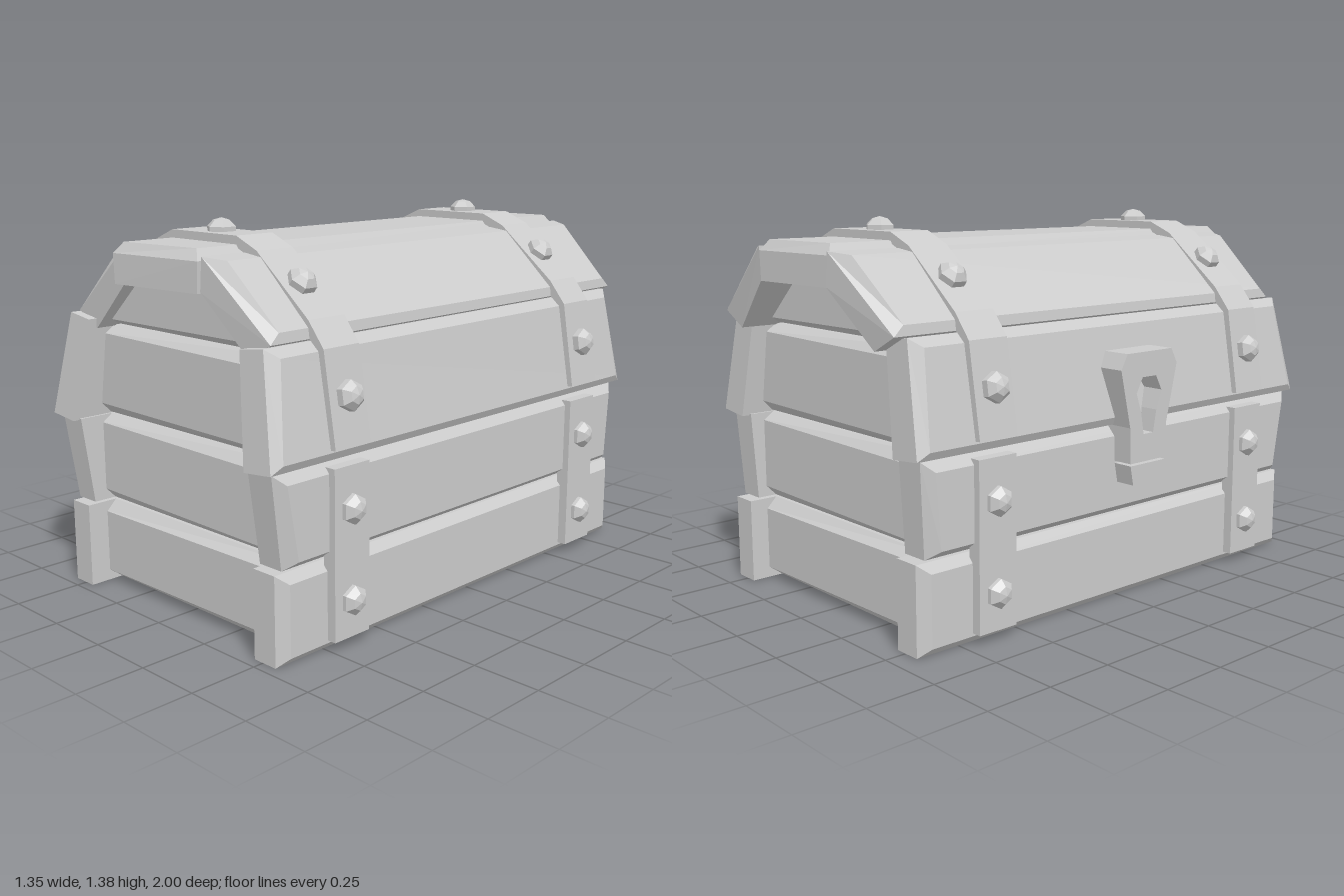
import * as THREE from 'three';

const material = new THREE.MeshStandardMaterial({ color: 0xcccccc, flatShading: true });

function add(parent, name, geometry) {
  const mesh = new THREE.Mesh(geometry, material);
  mesh.name = name;
  parent.add(mesh);
  return mesh;
}

// Bevelled slab from three rings of four corners: inner, shoulder, face
function slab(rings) {
  const p = [];
  const tri = (a, b, c) => p.push(...a, ...b, ...c);
  const quad = (a, b, c, d) => { tri(a, b, c); tri(a, c, d); };
  for (let i = 0; i < rings.length - 1; i++) {
    for (let j = 0; j < 4; j++) {
      const k = (j + 1) % 4;
      quad(rings[i][j], rings[i][k], rings[i + 1][k], rings[i + 1][j]);
    }
  }
  quad(...rings[rings.length - 1]);
  quad(...[...rings[0]].reverse());
  const g = new THREE.BufferGeometry();
  g.setAttribute('position', new THREE.Float32BufferAttribute(p, 3));
  g.computeVertexNormals();
  return g;
}

// Plank along z. section: inner, shoulder, face, face, shoulder, inner (x, y).
// back and front hold the end positions of its first and second edge.
function longPlank(section, back, front, inset = 0.04) {
  return slab([0, 1, 2].map((i) => {
    const a = section[i], b = section[5 - i], d = i === 2 ? inset : 0;
    return [[...a, back[0] + d], [...b, back[1] + d], [...b, front[1] - d], [...a, front[0] - d]];
  }));
}

// Horizontal plank of an end wall, facing +z
function endPlank(y0, y1, w0, w1, z, bevel, skew) {
  const ring = (d, zz, s) => [
    [w0, y0 + d + s, zz], [w1, y1 - d + s, zz], [-w1, y1 - d - s, zz], [-w0, y0 + d - s, zz]];
  return slab([ring(0, z - 0.15, 0), ring(0, z - 0.04, 0), ring(bevel, z, skew)]);
}

function polygon(points) {
  return new THREE.Shape(points.map(([x, y]) => new THREE.Vector2(x, y)));
}

function extrude(shape, depth) {
  return new THREE.ExtrudeGeometry(shape, { depth, bevelEnabled: false });
}

const mirror = (points) => points.map(([x, y]) => [-x, y]).reverse();

export function createModel() {
  const chest = new THREE.Group();
  chest.name = 'treasureChest';

  // Solid core behind the plank gaps
  const half = [[0.53, 0.03], [0.53, 0.68], [0.47, 1.0], [0.2, 1.22]];
  const core = add(chest, 'core', extrude(polygon([...half, ...mirror(half)]), 1.6));
  core.position.z = -0.79;

  // Planks of the long sides and the lid slopes
  const sidePlanks = [
    { name: 'lowerSidePlank', back: [-0.92, -0.92], front: [0.96, 0.96],
      s: [[0.46, 0], [0.56, 0], [0.59, 0.03], [0.59, 0.28], [0.56, 0.312], [0.46, 0.312]] },
    { name: 'upperSidePlank', back: [-0.885, -0.905], front: [0.93, 0.975],
      s: [[0.46, 0.32], [0.56, 0.32], [0.6, 0.35], [0.6, 0.61], [0.57, 0.645], [0.46, 0.645]] },
    { name: 'lidSidePlank', back: [-0.935, -0.91], front: [1.0, 0.955],
      s: [[0.47, 0.64], [0.595, 0.652], [0.61, 0.68], [0.555, 1.0], [0.52, 1.03], [0.41, 1.015]] },
    { name: 'lidSlopePlank', back: [-0.955, -0.99], front: [0.92, 0.935],
      s: [[0.41, 0.98], [0.515, 1.035], [0.51, 1.07], [0.29, 1.275], [0.21, 1.285], [0.2, 1.17]] },
  ];
  for (const { name, s, back, front } of sidePlanks) {
    add(chest, name + 'Left', longPlank(s, back, front));
    add(chest, name + 'Right', longPlank(mirror(s), [...back].reverse(), [...front].reverse()));
  }

  // Crown plank of the lid
  const crown = [[0.195, 1.165], [0.2, 1.27], [0.17, 1.308]];
  add(chest, 'lidTopPlank', longPlank([...crown, ...mirror(crown)], [-0.995, -0.975], [0.945, 0.985], 0.025));

  // End walls, recessed between the side planks
  const endPlanks = [
    [0.01, 0.312, 0.5, 0.5, 0.035, 0.006],
    [0.32, 0.645, 0.5, 0.5, 0.035, -0.006],
    [0.65, 0.985, 0.5, 0.45, 0.035, -0.005],
    [0.99, 1.22, 0.44, 0.2, 0.025, 0.004],
  ];
  for (const [side, turn, z] of [['front', 0, 0.88], ['back', Math.PI, 0.85]]) {
    const wall = new THREE.Group();
    wall.name = side + 'Wall';
    wall.rotation.y = turn;
    for (const [y0, y1, w0, w1, bevel, skew] of endPlanks) {
      add(wall, 'endPlank', endPlank(y0, y1, w0, w1, z, bevel, skew));
    }
    chest.add(wall);
  }

  // Metal straps with hexagonal rivets
  const outer = [[0.63, 0.69], [0.578, 1.01], [0.51, 1.095], [0.27, 1.295], [0.17, 1.337]];
  const arch = [...outer, ...mirror(outer)];
  const inner = arch.map(([x, y]) => {
    const r = Math.hypot(x, y - 0.65);
    return [x * (1 - 0.035 / r), 0.65 + (y - 0.65) * (1 - 0.035 / r)];
  });
  const lidBand = extrude(polygon([...arch, ...inner.reverse()]), 0.16);
  const rivet = new THREE.LatheGeometry(
    [[0.052, -0.02], [0.052, 0.02], [0.03, 0.042], [0, 0.05]].map(([x, y]) => new THREE.Vector2(x, y)),
    6).toNonIndexed();
  // x, y and tilt from straight up
  const rivets = [[0.62, 0.17, 1.57], [0.62, 0.483, 1.57], [0.608, 0.855, 1.41], [0.395, 1.195, 0.69]];
  for (const z of [0.675, -0.63]) {
    const strap = new THREE.Group();
    strap.name = z > 0 ? 'frontStrap' : 'backStrap';
    strap.position.z = z;
    add(strap, 'lidBand', lidBand).position.z = -0.08;
    add(strap, 'topRivet', rivet).position.y = 1.333;
    for (const side of [1, -1]) {
      add(strap, 'sideBand', new THREE.BoxGeometry(0.05, 0.59, 0.16)).position.set(side * 0.6, 0.335, 0);
      for (const [x, y, tilt] of rivets) {
        const r = add(strap, 'rivet', rivet);
        r.position.set(side * x, y, 0);
        r.rotation.z = -side * tilt;
        if (tilt > 1) r.rotateY(Math.PI / 6);
      }
    }
    chest.add(strap);
  }

  // Latch plate with keyhole and lower catch, on the right side
  const latch = new THREE.Group();
  latch.name = 'latch';
  latch.rotation.y = -Math.PI / 2;
  latch.position.set(-0.54, 0, 0.035);
  const plateHalf = [[0.09, 0.52], [0.095, 0.65], [0.145, 0.86], [0.115, 0.915]];
  const plate = polygon([...plateHalf, ...mirror(plateHalf)]);
  const holeHalf = [[0.025, 0.62], [0.04, 0.7], [0.065, 0.77], [0.035, 0.825]];
  plate.holes.push(polygon([...holeHalf, ...mirror(holeHalf)]));
  add(latch, 'latchPlate', extrude(plate, 0.137));
  const catchHalf = [[0.075, 0.44], [0.09, 0.512]];
  add(latch, 'latchCatch', extrude(polygon([...catchHalf, ...mirror(catchHalf)]), 0.137));
  chest.add(latch);

  return chest;
}
